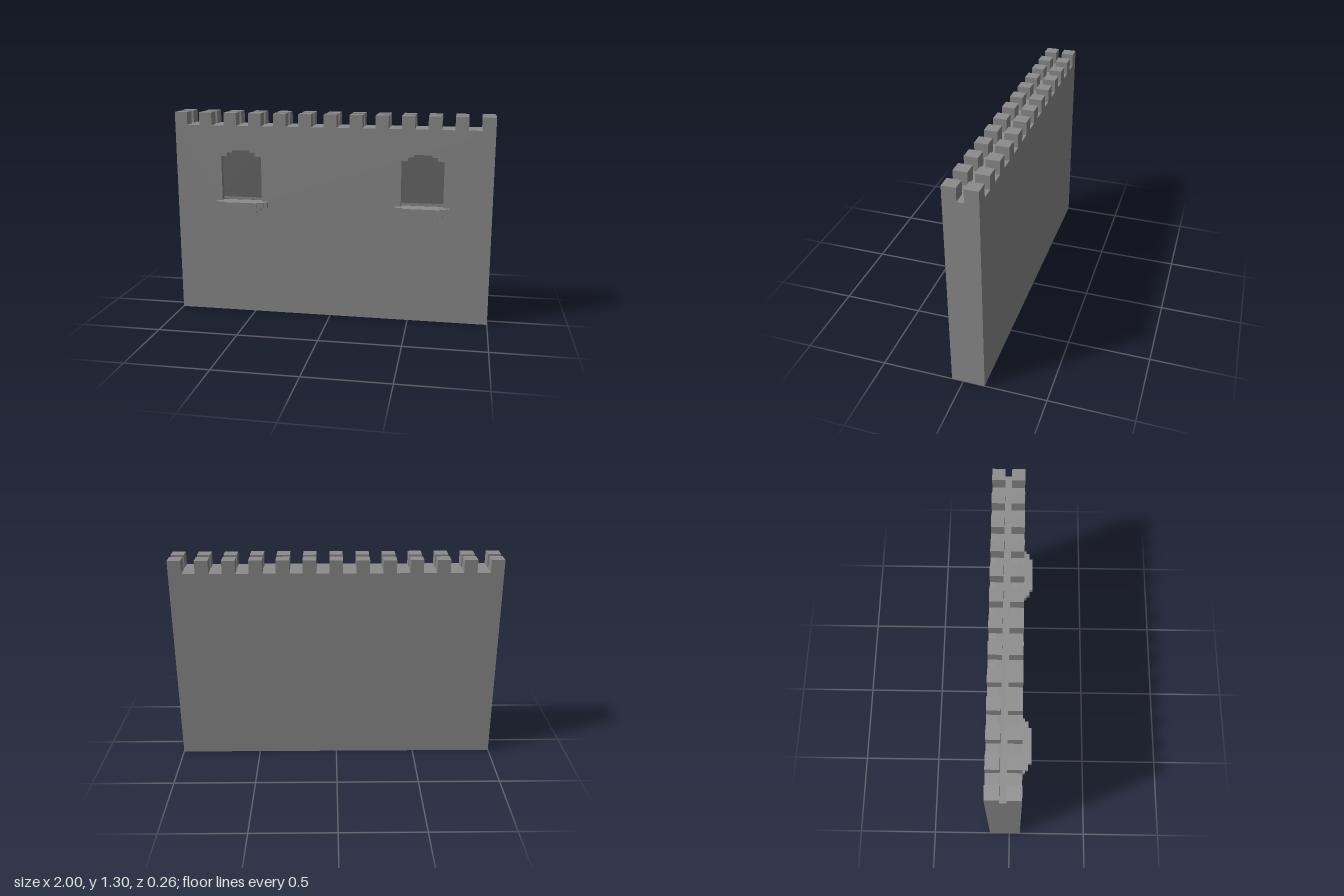
import * as THREE from 'three';

export function createModel() {
  const model = new THREE.Group();
  const stone = new THREE.MeshStandardMaterial({ color: 0x8c8c8c });
  stone.name = 'stone';
  const shadowStone = new THREE.MeshStandardMaterial({ color: 0x696969 });
  shadowStone.name = 'darkStone';

  const windowX = [-0.573, 0.573];
  const TOP = 1.22, SILL = 0.74;

  // Box given by its lower and upper limits on each axis
  function box(name, x0, x1, y0, y1, z0, z1, material = stone, parent = model) {
    const mesh = new THREE.Mesh(new THREE.BoxGeometry(x1 - x0, y1 - y0, z1 - z0), material);
    mesh.position.set((x0 + x1) / 2, (y0 + y1) / 2, (z0 + z1) / 2);
    mesh.name = name;
    parent.add(mesh);
  }

  // Wall layer with one hole at each window
  function wallLayer(name, outline, z0, z1) {
    const shape = new THREE.Shape([[-1, 0], [1, 0], [1, TOP], [-1, TOP]].map(p => new THREE.Vector2(...p)));
    for (const cx of windowX) {
      shape.holes.push(new THREE.Path(outline.map(([x, y]) => new THREE.Vector2(cx + x, y))));
    }
    const geometry = new THREE.ExtrudeGeometry(shape, { depth: z1 - z0, bevelEnabled: false });
    const mesh = new THREE.Mesh(geometry, stone);
    mesh.position.z = z0;
    mesh.name = name;
    model.add(mesh);
  }

  // Stepped arch opening in the front, wider chamber behind it
  const halfArch = [[0.13, SILL], [0.13, 1.027], [0.09, 1.027], [0.09, 1.05], [0.055, 1.05], [0.055, 1.065]];
  const arch = [...halfArch, ...halfArch.map(([x, y]) => [-x, y]).reverse()];
  const chamber = [[0.2, SILL], [0.2, 1.12], [-0.2, 1.12], [-0.2, SILL]];
  wallLayer('wallFront', arch, 0.03, 0.07);
  wallLayer('wallCore', chamber, -0.05, 0.03);
  box('wallBack', -1, 1, 0, TOP, -0.13, -0.05);

  // Two rows of battlements with a walkway between
  for (let i = 0; i < 13; i++) {
    const x = -1 + i * 0.16;
    box('frontMerlon', x, x + 0.08, TOP, 1.3, -0.01, 0.07);
    box('backMerlon', x, x + 0.08, TOP, 1.3, -0.13, -0.05);
  }

  for (const cx of windowX) {
    const bay = new THREE.Group();
    bay.name = 'windowBay';
    bay.position.x = cx;
    model.add(bay);

    // Dark lining of the chamber
    const t = 0.004;
    box('recessBack', -0.2, 0.2, SILL, 1.12, -0.05, -0.05 + t, shadowStone, bay);
    box('recessFloor', -0.2, 0.2, SILL - t, SILL + 0.001, -0.05, 0.03, shadowStone, bay);
    box('recessCeiling', -0.2, 0.2, 1.12 - t, 1.12, -0.05, 0.03, shadowStone, bay);
    for (const s of [-1, 1]) {
      box('recessSide', s * 0.198 - t / 2, s * 0.198 + t / 2, SILL, 1.12, -0.05, 0.03, shadowStone, bay);
    }

    // Stepped ledge: half width, bottom, top, front
    const steps = [
      [0.17, 0.705, 0.74, 0.09],
      [0.15, 0.705, 0.74, 0.11],
      [0.11, 0.705, 0.74, 0.13],
      [0.13, 0.685, 0.705, 0.11],
      [0.1, 0.665, 0.685, 0.09],
    ];
    for (const [w, y0, y1, z] of steps) box('ledgeStep', -w, w, y0, y1, 0.07, z, stone, bay);
  }
  return model;
}
